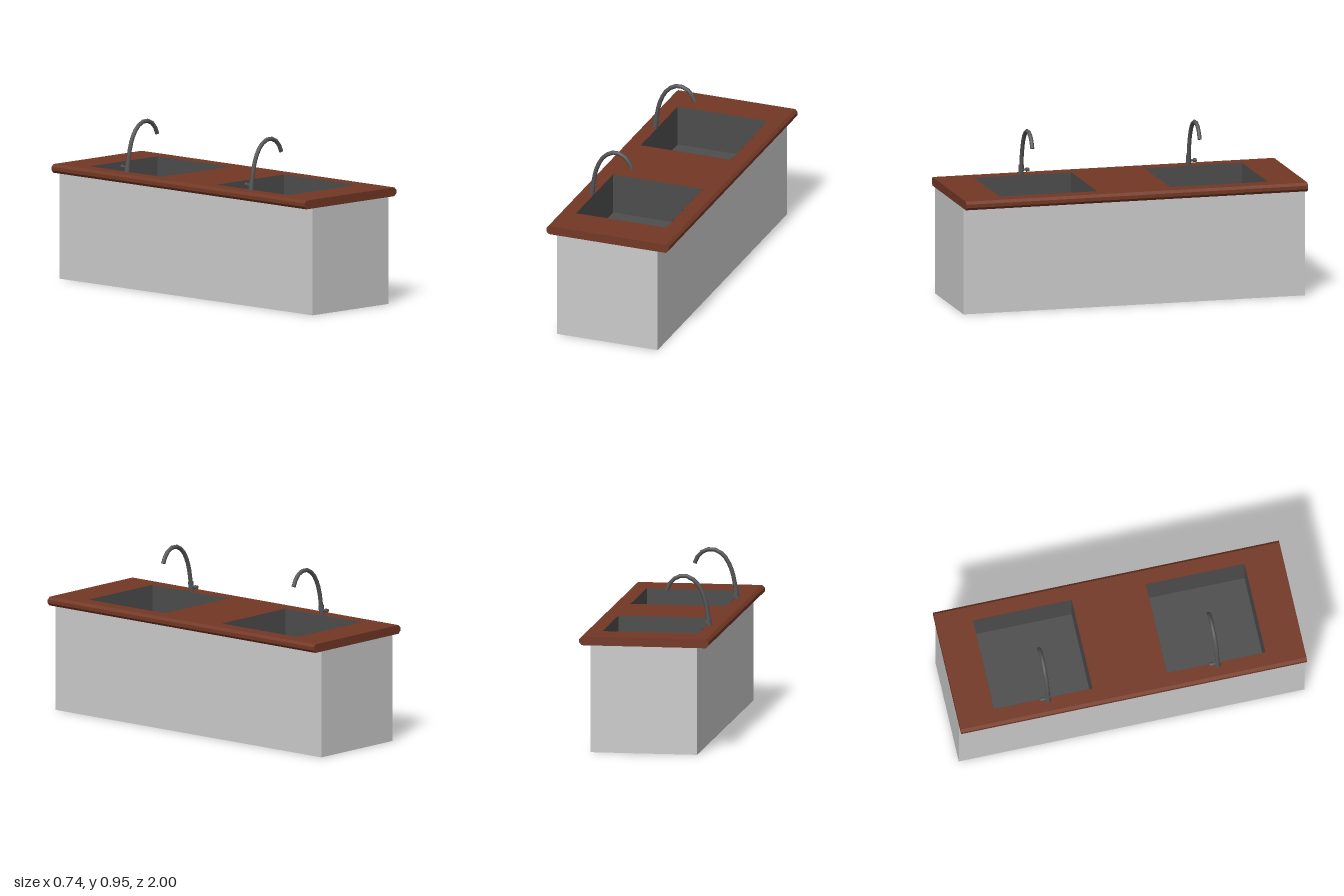
import * as THREE from 'three';

const material = (color, extra = {}) => new THREE.MeshStandardMaterial({ color, ...extra });
const TOP = 0.66, COUNTER_Y = 0.61, BASIN_FLOOR = 0.425;
const BASIN = { x: -0.0025, width: 0.545, length: 0.57 };
// basin centre and faucet position along z
const STATIONS = [
  { name: 'front', basinZ: 0.495, faucetZ: 0.5 },
  { name: 'back', basinZ: -0.505, faucetZ: -0.48 },
];

function part(name, geometry, mat) {
  const mesh = new THREE.Mesh(geometry, mat);
  mesh.name = name;
  return mesh;
}

// Box without its top face, standing on y = 0
function openBox(width, height, length) {
  const geometry = new THREE.BoxGeometry(width, height, length);
  const index = Array.from(geometry.index.array);
  index.splice(12, 6);
  geometry.setIndex(index);
  geometry.clearGroups();
  return geometry.translate(0, height / 2, 0);
}

function rectangle(target, cx, cy, w, h) {
  target.moveTo(cx - w / 2, cy - h / 2);
  target.lineTo(cx + w / 2, cy - h / 2);
  target.lineTo(cx + w / 2, cy + h / 2);
  target.lineTo(cx - w / 2, cy + h / 2);
  target.closePath();
  return target;
}

// Slab with two cut-outs, chamfered along its two long edges
function counterGeometry() {
  const half = 0.37, chamfer = 0.015, depth = TOP - COUNTER_Y;
  const shape = rectangle(new THREE.Shape(), 0, 0, half * 2, 2);
  for (const s of STATIONS) {
    shape.holes.push(rectangle(new THREE.Path(), BASIN.x, -s.basinZ, BASIN.width + 0.001, BASIN.length + 0.001));
  }
  const geometry = new THREE.ExtrudeGeometry(shape, { depth, steps: 3, bevelEnabled: false });
  const p = geometry.attributes.position;
  const layers = [0, chamfer, depth - chamfer, depth];
  for (let i = 0; i < p.count; i++) {
    const layer = Math.round(p.getZ(i) / depth * 3);
    const outer = Math.abs(p.getX(i)) > half - 0.001;
    if (outer && (layer === 0 || layer === 3)) p.setX(i, Math.sign(p.getX(i)) * (half - chamfer));
    p.setZ(i, layers[layer]);
  }
  geometry.computeVertexNormals();
  return geometry.rotateX(-Math.PI / 2).translate(0, COUNTER_Y, 0);
}

// Cylinder running between two points
function rod(name, from, to, r0, r1, mat) {
  const dir = to.clone().sub(from);
  const mesh = part(name, new THREE.CylinderGeometry(r1, r0, dir.length(), 10), mat);
  mesh.position.copy(from).add(to).multiplyScalar(0.5);
  mesh.quaternion.setFromUnitVectors(new THREE.Vector3(0, 1, 0), dir.normalize());
  return mesh;
}

function createFaucet(mat) {
  const v = (x, y, z = 0) => new THREE.Vector3(x, y, z);
  const faucet = new THREE.Group();
  faucet.add(rod('faucetBase', v(-0.291, TOP - 0.002), v(-0.284, 0.717), 0.016, 0.015, mat));

  // Arched spout
  const path = new THREE.CatmullRomCurve3([
    v(-0.284, 0.71), v(-0.27, 0.79), v(-0.245, 0.86), v(-0.207, 0.912),
    v(-0.15, 0.939), v(-0.1, 0.927), v(-0.068, 0.897), v(-0.049, 0.857),
  ]);
  faucet.add(part('spout', new THREE.TubeGeometry(path, 11, 0.012, 10), mat));
  const cap = part('spoutTip', new THREE.CircleGeometry(0.012, 10), mat);
  cap.position.copy(path.getPoint(1));
  cap.lookAt(cap.position.clone().add(path.getTangent(1)));
  faucet.add(cap);

  // Side handle
  faucet.add(rod('handleStem', v(-0.288, 0.688, 0), v(-0.288, 0.688, -0.03), 0.007, 0.007, mat));
  faucet.add(rod('handleKnob', v(-0.288, 0.688, -0.028), v(-0.288, 0.688, -0.046), 0.011, 0.011, mat));
  return faucet;
}

export function createModel() {
  const model = new THREE.Group();
  model.name = 'doubleSinkCounter';
  const wood = material(0x733825, { flatShading: true });
  const steel = material(0x4d4d4d, { side: THREE.DoubleSide });
  const metal = material(0x555555);

  model.add(part('cabinet', openBox(0.61, COUNTER_Y, 2), material(0xcccccc)));
  model.add(part('countertop', counterGeometry(), wood));

  for (const s of STATIONS) {
    const basin = part(s.name + 'Basin', openBox(BASIN.width, TOP - BASIN_FLOOR, BASIN.length), steel);
    basin.position.set(BASIN.x, BASIN_FLOOR, s.basinZ);
    const faucet = createFaucet(metal);
    faucet.name = s.name + 'Faucet';
    faucet.position.z = s.faucetZ;
    model.add(basin, faucet);
  }
  return model;
}
